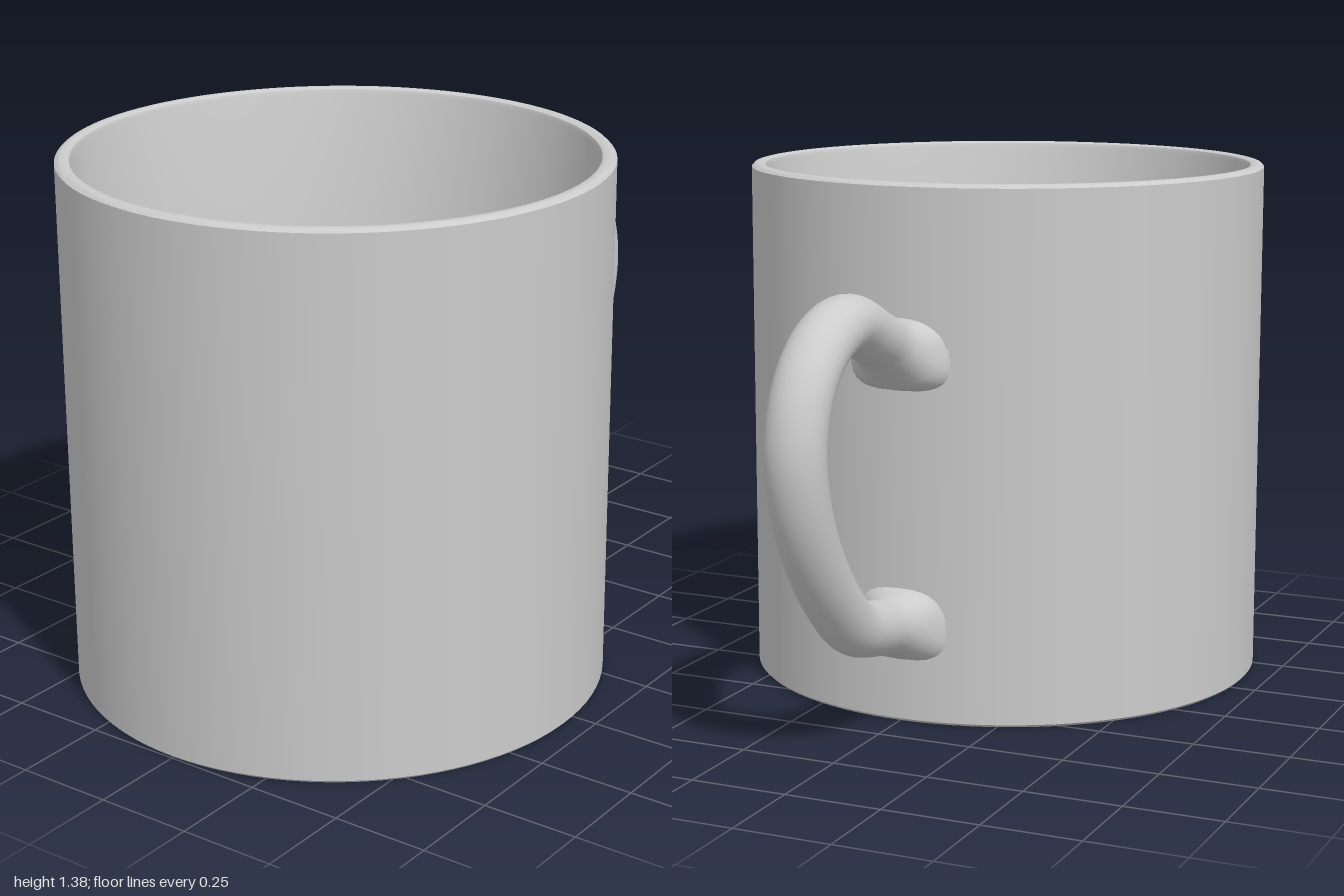
import * as THREE from 'three';
import { toCreasedNormals, mergeVertices } from 'three/addons/utils/BufferGeometryUtils.js';

const CUP_X = -0.31, R = 0.69, H = 1.38, WALL = 0.04;

// Turned cup: flat base, straight wall, softened rim, hollow inside
function cupGeometry() {
  const b = 0.007, inner = R - WALL, floor = 0.05;
  const profile = [
    [0, 0], [R - b, 0], [R, b], [R, H - b * 1.3], [R - b, H - 0.002], [R - 0.015, H],
    [inner + 0.012, H], [inner + 0.004, H - 0.004], [inner, H - 0.014],
    [inner, floor + 0.015], [inner - 0.015, floor], [0, floor],
  ].map(([x, y]) => new THREE.Vector2(x, y));
  return toCreasedNormals(new THREE.LatheGeometry(profile, 96), 0.6);
}

// Handle: oval sections swept along a curve in the XY plane, flaring at both roots
function handleGeometry() {
  const path = new THREE.CatmullRomCurve3([
    [0.365, 0.952], [0.43, 0.975], [0.53, 1.02], [0.66, 1.07], [0.79, 1.035], [0.885, 0.94],
    [0.925, 0.81], [0.905, 0.67], [0.84, 0.53], [0.74, 0.4], [0.64, 0.315],
    [0.53, 0.283], [0.43, 0.268], [0.365, 0.26],
  ].map(([x, y]) => new THREE.Vector3(x, y, 0)));
  const rings = 90, sides = 28, pos = [], index = [];
  for (let i = 0; i <= rings; i++) {
    const t = i / rings;
    const c = path.getPointAt(t), tan = path.getTangentAt(t);
    // 1 at the wall, fading to 0 a short way along the handle
    const flare = Math.pow(Math.max(0, 1 - (c.x - 0.365) / 0.13), 2.2);
    const halfY = 0.07 + 0.03 * flare;
    const halfZ = THREE.MathUtils.lerp(0.08, 0.071, t) + 0.065 * flare;
    const power = 1 - 0.4 * flare; // squarer outline at the root
    const root = i === 0 || i === rings;
    for (let j = 0; j < sides; j++) {
      const a = (j / sides) * Math.PI * 2;
      const bend = (v) => Math.sign(v) * Math.pow(Math.abs(v), power);
      const n = bend(Math.cos(a)) * halfY, z = bend(Math.sin(a)) * halfZ;
      let x = c.x - tan.y * n;
      const y = c.y + tan.x * n;
      // wrap the root section onto the round wall
      const wallX = CUP_X + Math.sqrt((R - 0.008) ** 2 - z * z);
      x = root ? wallX : x + (wallX - CUP_X - R + 0.008) * flare;
      pos.push(x, y, z);
      if (i < rings) {
        const k = (j + 1) % sides, p = i * sides, q = p + sides;
        index.push(p + j, p + k, q + j, p + k, q + k, q + j);
      }
    }
  }
  const g = new THREE.BufferGeometry();
  g.setAttribute('position', new THREE.Float32BufferAttribute(pos, 3));
  g.setIndex(index);
  const merged = mergeVertices(g);
  merged.computeVertexNormals();
  return merged;
}

export function createModel() {
  const group = new THREE.Group();
  group.name = 'mug';
  const material = new THREE.MeshStandardMaterial({ color: 0xcccccc });

  const cup = new THREE.Mesh(cupGeometry(), material);
  cup.name = 'cup';
  cup.position.x = CUP_X;

  const handle = new THREE.Mesh(handleGeometry(), material);
  handle.name = 'handle';

  group.add(cup, handle);
  return group;
}
